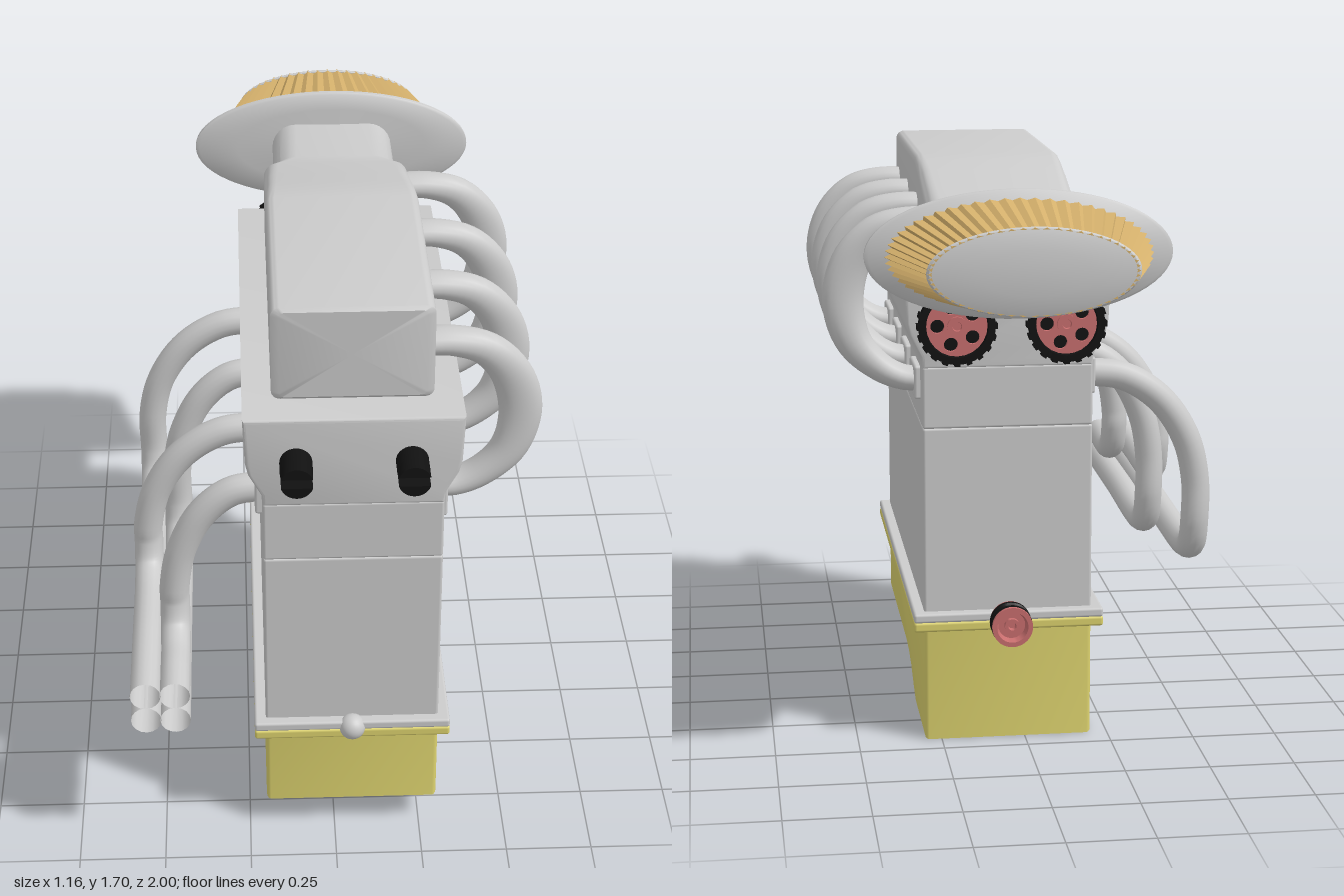
import * as THREE from 'three';
import { toCreasedNormals } from 'three/addons/utils/BufferGeometryUtils.js';
import { RoundedBoxGeometry } from 'three/addons/geometries/RoundedBoxGeometry.js';

const CX = 0.05; // engine centre line
const paint = (color) => new THREE.MeshStandardMaterial({ color });
const GREY = paint(0xcccccc), YELLOW = paint(0xdcd26e), TAN = paint(0xd4b06c);
const BLACK = paint(0x111111), RED = paint(0xc86e6e);
const PIPE = new THREE.MeshStandardMaterial({ color: 0xcccccc, side: THREE.DoubleSide });
const V = (x, y, z) => new THREE.Vector3(x, y, z);

// Skin a list of closed rings and cap both ends
function loft(rings, crease = 0.6) {
  const pos = [], n = rings[0].length;
  const tri = (...pts) => pts.forEach((p) => pos.push(p.x, p.y, p.z));
  const mid = (ring) => ring.reduce((s, p) => s.add(p), V(0, 0, 0)).divideScalar(n);
  const first = rings[0], last = rings[rings.length - 1], m0 = mid(first), m1 = mid(last);
  for (let j = 0; j < n; j++) {
    const k = (j + 1) % n;
    for (let i = 0; i < rings.length - 1; i++) {
      const a = rings[i], b = rings[i + 1];
      tri(a[j], b[j], a[k]);
      tri(a[k], b[j], b[k]);
    }
    tri(m0, first[j], first[k]);
    tri(m1, last[k], last[j]);
  }
  const g = new THREE.BufferGeometry();
  g.setAttribute('position', new THREE.Float32BufferAttribute(pos, 3));
  return toCreasedNormals(g, crease);
}

// Rounded rectangle ring in the plane of one z
function roundedRing(z, half, y0, y1, r) {
  const ring = [], cy = (y0 + y1) / 2, hy = (y1 - y0) / 2;
  for (let q = 0; q < 4; q++) {
    const sx = q === 0 || q === 3 ? 1 : -1, sy = q < 2 ? 1 : -1;
    for (let i = 0; i <= 6; i++) {
      const a = (q + i / 6) * Math.PI / 2;
      ring.push(V(CX + sx * (half - r) + r * Math.cos(a), cy + sy * (hy - r) + r * Math.sin(a), z));
    }
  }
  return ring;
}

// Centred extrusion of a 2D outline with softened edges
function slab(points, depth, bevel) {
  const g = new THREE.ExtrudeGeometry(new THREE.Shape(points.map((p) => new THREE.Vector2(...p))), {
    depth: depth - 2 * bevel, bevelThickness: bevel, bevelSize: bevel, bevelOffset: -bevel, bevelSegments: 3,
  });
  return toCreasedNormals(g.translate(0, 0, -depth / 2 + bevel), 0.6);
}

// Lathe whose axis points to the rear (-z)
function rearLathe(profile, sides = 40) {
  const g = new THREE.LatheGeometry(profile.map((p) => new THREE.Vector2(...p)), sides);
  return toCreasedNormals(g.rotateX(-Math.PI / 2), 0.6);
}

export function createModel() {
  const model = new THREE.Group();
  const add = (name, geometry, material, x = 0, y = 0, z = 0, parent = model) => {
    const m = new THREE.Mesh(geometry, material);
    m.name = name;
    m.position.set(x, y, z);
    parent.add(m);
    return m;
  };
  const box = (name, mat, w, h, d, x, y, z, r = 0.008) =>
    add(name, new RoundedBoxGeometry(w, h, d, 2, r), mat, x, y, z);

  // Block, head and cam cover
  box('engineBlock', GREY, 0.5, 0.58, 1.28, CX, 0.67, 0.22);
  box('cylinderHead', GREY, 0.5, 0.185, 1.28, CX, 1.05, 0.22);
  add('camCover', slab([[-0.25, 1.135], [0.25, 1.135], [0.253, 1.17], [0.288, 1.235], [0.296, 1.27],
    [0.302, 1.41], [-0.302, 1.41], [-0.296, 1.27], [-0.288, 1.235], [-0.253, 1.17]].map(([x, y]) => [x, y]),
  1.28, 0.01), GREY, CX, 0, 0.22);

  // Oil pan with a deep rear sump
  const pan = add('oilPan', slab([[0.86, 0.365], [-0.42, 0.365], [-0.42, 0.004], [-0.1, 0.004], [-0.03, 0.03],
    [0.06, 0.072], [0.14, 0.092], [0.22, 0.1], [0.86, 0.1]], 0.5, 0.012), YELLOW, CX);
  pan.rotation.y = -Math.PI / 2;
  box('panFlange', YELLOW, 0.565, 0.03, 1.34, CX, 0.363, 0.22);
  box('blockFlange', GREY, 0.565, 0.028, 1.34, CX, 0.39, 0.22);
  add('frontPlug', new THREE.SphereGeometry(0.038, 24, 16), GREY, CX, 0.38, 0.878);

  // Intake plenum narrowing into the air neck
  const plenum = [[0.77, 0.2, 1.43, 1.69, 0.015], [0.76, 0.222, 1.42, 1.7, 0.025], [0.1, 0.222, 1.42, 1.7, 0.025],
    [0.03, 0.222, 1.42, 1.69, 0.03], [-0.06, 0.222, 1.42, 1.67, 0.035], [-0.2, 0.222, 1.42, 1.63, 0.04],
    [-0.35, 0.22, 1.42, 1.595, 0.045], [-0.38, 0.205, 1.425, 1.59, 0.06], [-0.41, 0.188, 1.437, 1.588, 0.07],
    [-0.66, 0.188, 1.437, 1.588, 0.074]];
  add('intakePlenum', loft(plenum.map((s) => roundedRing(...s))), GREY);

  // Oval air filter: backing plate, pleated cone, domed end cap
  const filter = new THREE.Group();
  filter.name = 'airFilter';
  filter.position.set(CX, 1.508, 0);
  filter.scale.y = 0.42;
  model.add(filter);
  add('filterPlate', rearLathe([[0, 0.64], [0.18, 0.64], [0.3, 0.65], [0.42, 0.652], [0.432, 0.658],
    [0.432, 0.672], [0.42, 0.678], [0, 0.678]], 64), GREY, 0, 0, 0, filter);
  const pleats = (z, r) => Array.from({ length: 112 }, (_, i) => {
    const a = i / 112 * Math.PI * 2, rr = r * (i % 2 ? 0.955 : 1);
    return V(rr * Math.cos(a), rr * Math.sin(a), z);
  });
  add('filterPleats', loft([pleats(-0.67, 0.38), pleats(-0.985, 0.285)], 0.1), TAN, 0, 0, 0, filter);
  add('filterCap', rearLathe([[0, 0.965], [0.285, 0.965], [0.289, 0.975], [0.282, 0.984], [0.24, 0.99],
    [0.15, 0.997], [0, 1]], 64), GREY, 0, 0, 0, filter);

  // Intake runners: flattened loops from plenum to head
  const loop = new THREE.CatmullRomCurve3([V(0.22, 1.552, 0), V(0.33, 1.55, 0), V(0.42, 1.52, 0), V(0.49, 1.44, 0),
    V(0.519, 1.32, 0), V(0.49, 1.2, 0), V(0.42, 1.125, 0), V(0.35, 1.09, 0), V(0.28, 1.083, 0)]);
  const runnerRings = Array.from({ length: 41 }, (_, i) => {
    const t = i / 40, p = loop.getPointAt(t), d = loop.getTangentAt(t);
    const bulge = Math.sin(Math.PI * t) ** 2;
    const inPlane = 0.036 + 0.025 * bulge, across = 0.053 - 0.018 * bulge;
    return Array.from({ length: 20 }, (_, j) => {
      const a = j / 20 * Math.PI * 2, u = inPlane * Math.cos(a);
      return V(p.x + d.y * u, p.y - d.x * u, across * Math.sin(a) - 0.02 * t);
    });
  });
  const runner = loft(runnerRings, 0.8);

  // Exhaust headers: each drops, then turns forward into a bundle of four
  const header = (X, Y, z) => {
    const out = [[0, 1.09], [0.36, 1.072], [0.68, 1.0], [0.91, 0.88], [1, 0.75]];
    const pts = out.map(([f, y]) => V(-0.19 + f * (X + 0.19), y, z));
    pts.push(V(X, Y + 0.1, z), V(X, Y + 0.03, z + 0.03), V(X, Y, z + 0.1), V(X, Y, (z + 1.1) / 2), V(X, Y, 1));
    return new THREE.TubeGeometry(new THREE.CatmullRomCurve3(pts), 80, 0.043, 16);
  };
  const ports = [[0.69, -0.455, 0.6], [0.37, -0.538, 0.6], [0.05, -0.455, 0.516], [-0.27, -0.538, 0.516]];
  for (const [z, X, Y] of ports) {
    add('intakeRunner', runner, GREY, 0, 0, z);
    box('intakeFlange', GREY, 0.035, 0.1, 0.16, 0.3, 1.082, z);
    add('exhaustHeader', header(X, Y, z - 0.01), PIPE);
    box('exhaustFlange', GREY, 0.035, 0.11, 0.13, -0.203, 1.09, z - 0.01);
  }

  // Camshaft ends: slotted at the front, toothed pulleys at the rear
  const prong = new THREE.ExtrudeGeometry(new THREE.Shape().absarc(0, 0, 0.045, 0.3, Math.PI - 0.3),
    { depth: 0.06, bevelEnabled: false, curveSegments: 16 });
  const wheel = new THREE.Shape().absarc(0, 0, 0.088, 0, Math.PI * 2);
  for (let i = 0; i < 5; i++) {
    const a = i / 5 * Math.PI * 2;
    wheel.holes.push(new THREE.Path().absarc(0.056 * Math.cos(a), 0.056 * Math.sin(a), 0.02, 0, Math.PI * 2, true));
  }
  const wheelGeo = new THREE.ExtrudeGeometry(wheel, { depth: 0.012, bevelEnabled: false });
  const pulleyGeo = rearLathe([[0, 0], [0.05, 0], [0.062, 0.02], [0.1, 0.062], [0.11, 0.068], [0.11, 0.1],
    [0.09, 0.1], [0.086, 0.072], [0, 0.072]]);
  const hubGeo = rearLathe([[0, 0.07], [0.028, 0.07], [0.028, 0.096], [0.014, 0.096], [0.012, 0.085], [0, 0.085]], 24);
  for (const x of [CX - 0.158, CX + 0.158]) {
    const shaft = new THREE.Group();
    shaft.name = 'camshaft';
    shaft.position.set(x, 1.278, 0);
    model.add(shaft);
    add('shaftStub', new THREE.CylinderGeometry(0.045, 0.045, 0.07, 28).rotateX(Math.PI / 2), BLACK, 0, 0, 0.88, shaft);
    for (const turn of [0, Math.PI]) add('shaftProng', prong, BLACK, 0, 0, 0.91, shaft).rotation.z = turn;
    add('pulleyBody', pulleyGeo, BLACK, 0, 0, -0.42, shaft);
    add('pulleyWheel', wheelGeo, RED, 0, 0, -0.507, shaft);
    add('pulleyHub', hubGeo, RED, 0, 0, -0.42, shaft);
    for (let i = 0; i < 20; i++) {
      const a = i / 20 * Math.PI * 2;
      const tooth = add('pulleyTooth', new THREE.BoxGeometry(0.012, 0.016, 0.032), BLACK,
        0.11 * Math.cos(a), 0.11 * Math.sin(a), -0.504, shaft);
      tooth.rotation.z = a;
    }
  }

  // Crank pulley: red flanged cup with a black belt band
  add('crankPulley', rearLathe([[0, 0], [0.058, 0], [0.06, 0.012], [0.05, 0.016], [0.05, 0.06], [0.06, 0.064],
    [0.06, 0.076], [0.046, 0.076], [0.04, 0.05], [0.022, 0.05], [0.022, 0.066], [0.012, 0.066], [0.01, 0.05],
    [0, 0.05]]), RED, CX, 0.38, -0.455);
  add('crankBelt', rearLathe([[0.05, 0.014], [0.061, 0.014], [0.061, 0.026], [0.055, 0.032], [0.055, 0.044],
    [0.061, 0.05], [0.061, 0.062], [0.05, 0.062]]), BLACK, CX, 0.38, -0.455);
  add('crankSnout', new THREE.CylinderGeometry(0.03, 0.03, 0.05, 24).rotateX(Math.PI / 2), BLACK, CX, 0.38, -0.44);
  return model;
}
